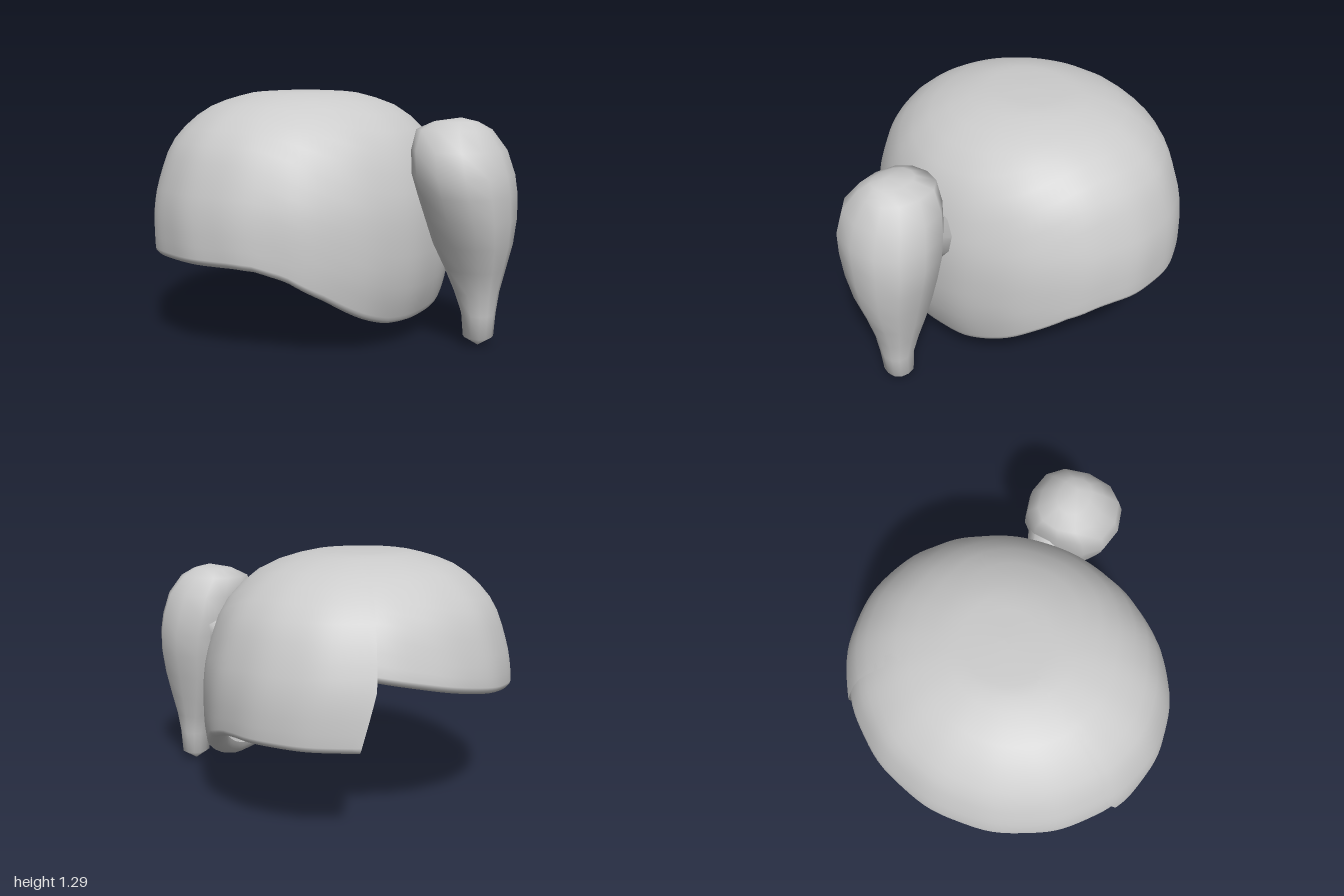
import * as THREE from 'three';
import { mergeVertices } from 'three/addons/utils/BufferGeometryUtils.js';

const material = new THREE.MeshStandardMaterial({ color: 0xcccccc, side: THREE.DoubleSide });
const RX = 0.89, CZ = -0.215;   // dome half width and centre
const LIP = 0.065;              // half width of the rolled lip, as a share of the radius
const rad = THREE.MathUtils.degToRad;

// Dome profile: x = share of the radius, y = height
const profile = new THREE.SplineCurve([
  [0, 1.29], [0.2, 1.285], [0.38, 1.268], [0.64, 1.19], [0.85, 1.03], [0.95, 0.83],
  [0.99, 0.68], [1, 0.53], [0.995, 0.38], [0.96, 0.22], [0.9, 0.1], [0.87, 0.04],
].map(([r, y]) => new THREE.Vector2(r, y)));

// Smooth surface through a grid of points, rows running downwards
function gridMesh(name, columns) {
  const rows = columns[0].length, index = [];
  for (let j = 0; j < columns.length - 1; j++) {
    for (let i = 0; i < rows - 1; i++) {
      const a = j * rows + i, b = a + rows;
      index.push(a, b, a + 1, b, b + 1, a + 1);
    }
  }
  let geometry = new THREE.BufferGeometry().setFromPoints(columns.flat());
  geometry.setIndex(index);
  geometry = mergeVertices(geometry, 1e-5);
  geometry.computeVertexNormals();
  const mesh = new THREE.Mesh(geometry, material);
  mesh.name = name;
  return mesh;
}

// Profile parameter at a given height
function paramAt(y) {
  let lo = 0, hi = 1;
  for (let k = 0; k < 24; k++) {
    const mid = (lo + hi) / 2;
    if (profile.getPoint(mid).y > y) lo = mid; else hi = mid;
  }
  return lo;
}

// One column of a shell: down the outside, then round the inward-rolled lip
function shellColumn(phi, rimY, { depth, inset, lean }) {
  const N = 18, ROLL = 8, column = [];
  const drop = 0.05;
  const end = paramAt(rimY + drop);
  const add = (r, y, fall) => {
    const ripple = 1 + 0.003 * fall * Math.sin(phi * 16);
    const s = r * ripple * (1 - inset * fall);
    // the cut ends lean forward near the bottom
    const pull = 1 - lean * THREE.MathUtils.clamp((0.75 - y) / 0.3, 0, 1);
    const a = Math.PI / 2 + (phi - Math.PI / 2) * pull;
    column.push(new THREE.Vector3(RX * s * Math.cos(a), y, CZ + depth * s * Math.sin(a)));
  };
  for (let i = 0; i <= N; i++) {
    const p = profile.getPoint(end * i / N);
    add(p.x, p.y, i / N);
  }
  const edge = profile.getPoint(end);
  for (let k = 1; k <= ROLL; k++) {
    const a = Math.PI * k / ROLL;
    const rise = 0.03 * k / ROLL;
    add(edge.x * (1 - LIP * (1 - Math.cos(a))), edge.y - drop * Math.sin(a) + rise, 1);
  }
  return column;
}

// Dome sheet with a rolled lip over a range of angles
function shell(name, from, to, count, rim, options) {
  const columns = [];
  for (let j = 0; j <= count; j++) {
    const phi = rad(from + (to - from) * j / count);
    columns.push(shellColumn(phi, rim(phi), options));
  }
  return gridMesh(name, columns);
}

// Lower edge of the main cap, by how far forward it is
const rimSteps = [[-1, 0.44], [0.22, 0.44], [0.36, 0.43], [0.53, 0.385], [0.72, 0.28],
  [0.87, 0.17], [0.96, 0.11], [1.01, 0.095]];
function mainRim(phi) {
  const s = Math.sin(phi);
  const k = rimSteps.findIndex(([v]) => v >= s);
  const [a, b] = [rimSteps[k - 1], rimSteps[k]];
  return THREE.MathUtils.mapLinear(s, a[0], b[0], a[1], b[1]);
}

// Lower edge of the rear band: high on the left, low on the right
function rearRim(phi) {
  const c = Math.cos(phi);
  return 0.6 + 0.12 * c + 0.08 * c * c;
}

// Hanging tail: rings of height, x range and z range
function tail() {
  const rings = [
    [1.16, 0.02, 0.02, 0.74, 0.74], [1.14, -0.06, 0.11, 0.6, 0.82], [1.1, -0.13, 0.2, 0.51, 0.88],
    [1.0, -0.21, 0.27, 0.505, 0.95], [0.88, -0.23, 0.295, 0.515, 0.99], [0.78, -0.21, 0.305, 0.54, 1],
    [0.66, -0.17, 0.29, 0.57, 1], [0.53, -0.115, 0.26, 0.6, 0.985], [0.4, -0.05, 0.23, 0.65, 0.95],
    [0.28, -0.01, 0.2, 0.7, 0.92], [0.17, 0.01, 0.18, 0.74, 0.905], [0.05, 0.02, 0.175, 0.75, 0.895],
    [0, 0.1, 0.1, 0.82, 0.82],
  ];
  const SIDES = 12, columns = [];
  const fuller = v => Math.sign(v) * Math.abs(v) ** 0.85;
  for (let j = 0; j <= SIDES; j++) {
    const a = 2 * Math.PI * (j % SIDES) / SIDES;
    columns.push(rings.map(([y, x0, x1, z0, z1]) => new THREE.Vector3(
      (x0 + x1) / 2 + (x1 - x0) / 2 * fuller(Math.cos(a)), y,
      (z0 + z1) / 2 + (z1 - z0) / 2 * fuller(Math.sin(a)))));
  }
  return gridMesh('tail', columns);
}

export function createModel() {
  const model = new THREE.Group();
  model.name = 'hairCap';
  model.add(shell('mainCap', -36, 212, 80, mainRim, { depth: 0.785, inset: 0, lean: 0.045 }));
  model.add(shell('rearBand', 206, 330, 40, rearRim, { depth: 0.803, inset: 0.015, lean: 0 }));
  model.add(tail());

  // Root of the tail, slanting through the wall into the cap
  const root = new THREE.Mesh(new THREE.CylinderGeometry(0.08, 0.16, 0.29, 10), material);
  root.name = 'tailRoot';
  root.rotation.x = rad(-119);
  root.position.set(0.08, 0.74, 0.495);
  model.add(root);
  return model;
}
